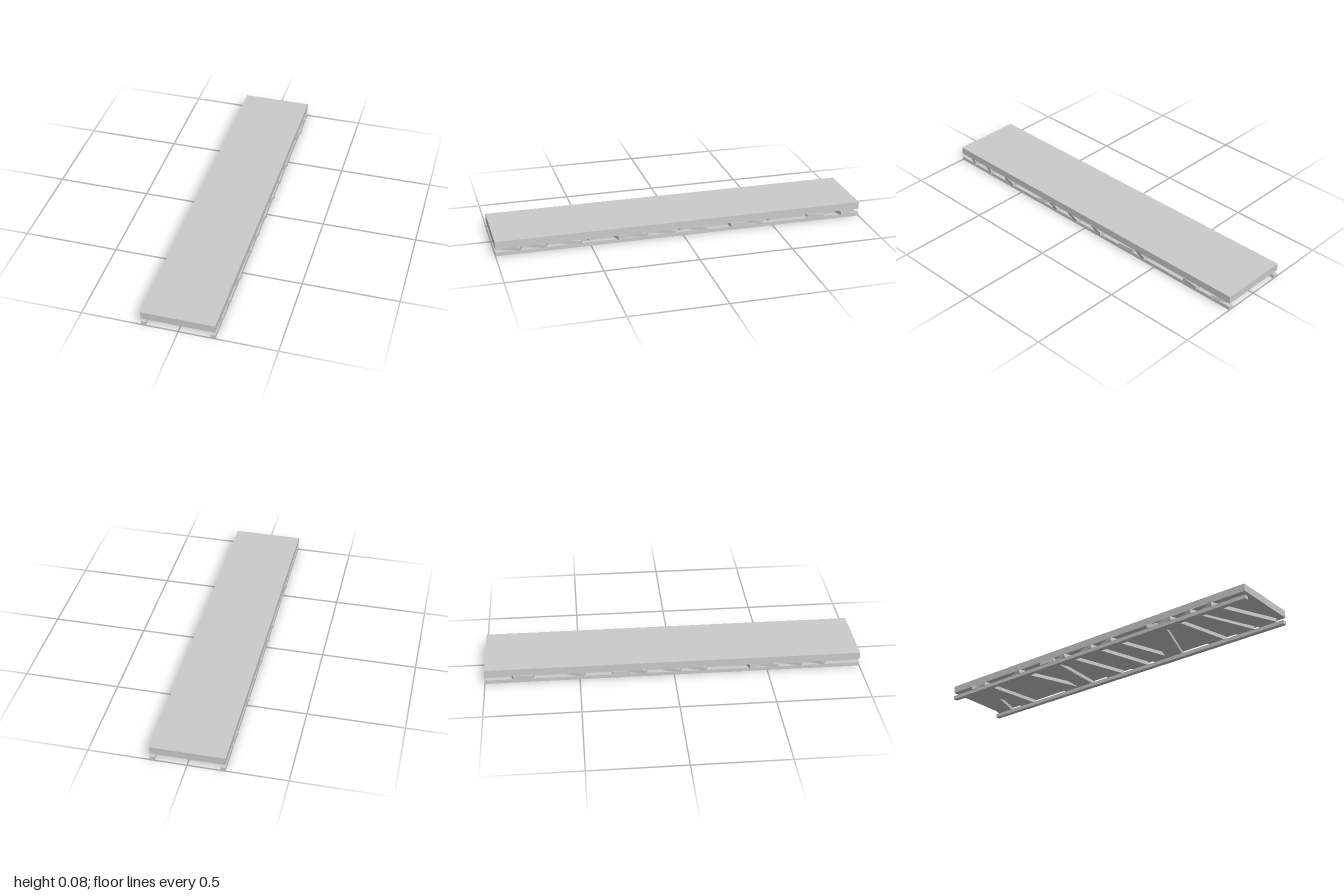
import * as THREE from 'three';

const material = new THREE.MeshStandardMaterial({ color: 0xcccccc, flatShading: true });

function addBox(parent, name, size, position, turn = 0) {
  const mesh = new THREE.Mesh(new THREE.BoxGeometry(...size), material);
  mesh.name = name;
  mesh.position.set(...position);
  mesh.rotation.y = turn;
  parent.add(mesh);
}

export function createModel() {
  const model = new THREE.Group();
  model.name = 'platform';

  // Solid top deck
  addBox(model, 'deck', [0.377, 0.04, 2], [-0.002, 0.06, 0]);

  // Two long rails underneath
  addBox(model, 'rightRail', [0.025, 0.02, 2], [-0.178, 0.01, 0]);
  addBox(model, 'leftRail', [0.025, 0.02, 2], [0.175, 0.01, 0]);

  // Crooked cross slats between rails and deck: [centre z, slope dz/dx]
  const slats = new THREE.Group();
  slats.name = 'crossSlats';
  const layout = [
    [0.84, 0.44], [0.71, 0.41], [0.555, 0.23], [0.38, -0.38],
    [0.185, 0.33], [0.04, 0.28], [-0.14, 0.3], [-0.295, -0.07],
    [-0.46, 0.36], [-0.77, 0.12], [-0.87, -0.36],
  ];
  for (const [z, slope] of layout) {
    addBox(slats, 'slat', [0.39, 0.02, 0.095], [0, 0.03, z], -Math.atan(slope));
  }
  model.add(slats);
  return model;
}
